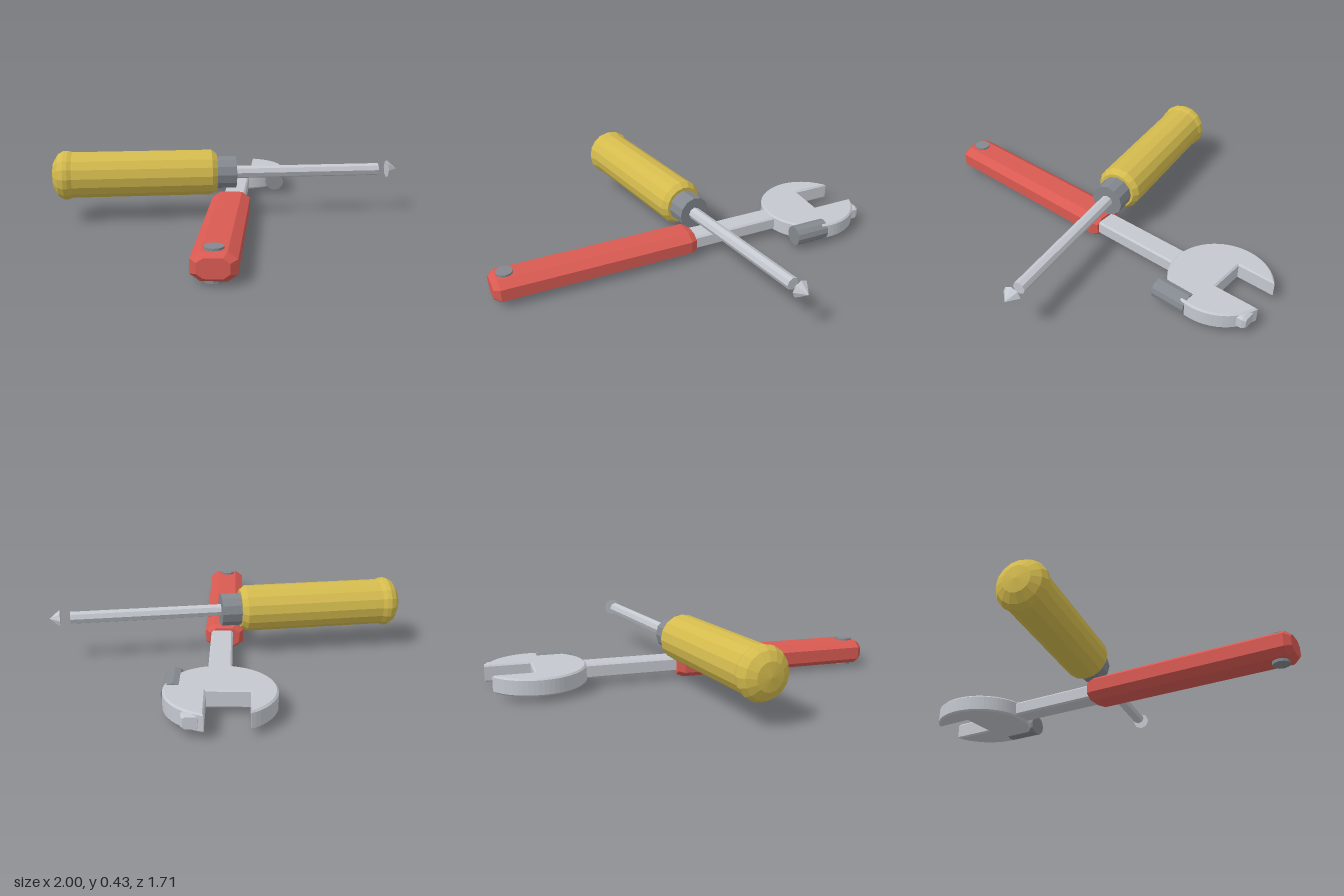
import * as THREE from 'three';

const mat = (name, color) => Object.assign(new THREE.MeshStandardMaterial({ color }), { name });

// Faceted normals on any geometry
function flat(geo) {
  const g = geo.index ? geo.toNonIndexed() : geo;
  g.computeVertexNormals();
  return g;
}

function add(parent, name, geo, material, x = 0, y = 0, z = 0) {
  const mesh = new THREE.Mesh(flat(geo), material);
  mesh.name = name;
  mesh.position.set(x, y, z);
  parent.add(mesh);
  return mesh;
}

// Cylinder lying along x, from x0 to x1
function rod(x0, x1, r0, r1, sides) {
  return new THREE.CylinderGeometry(r1, r0, x1 - x0, sides)
    .rotateZ(-Math.PI / 2).translate((x0 + x1) / 2, 0, 0);
}

// Chamfered bar along x: stations are [x, scale], half height h, half width w
function bar(stations, h, w, ch, cw) {
  const section = [[h, -w + cw], [h, w - cw], [h - ch, w], [-h + ch, w],
    [-h, w - cw], [-h, -w + cw], [-h + ch, -w], [h - ch, -w]];
  const n = section.length, pos = [], idx = [];
  for (const [x, s] of stations) for (const [y, z] of section) pos.push(x, y * s, z * s);
  for (let i = 0; i < stations.length - 1; i++) {
    for (let j = 0; j < n; j++) {
      const a = i * n + j, b = i * n + (j + 1) % n;
      idx.push(a, b, b + n, a, b + n, a + n);
    }
  }
  const last = (stations.length - 1) * n;
  for (let j = 1; j < n - 1; j++) {
    idx.push(0, j + 1, j, last, last + j, last + j + 1);
  }
  const g = new THREE.BufferGeometry();
  g.setAttribute('position', new THREE.Float32BufferAttribute(pos, 3));
  g.setIndex(idx);
  return g;
}

export function createModel() {
  const model = new THREE.Group();
  model.name = 'crossedTools';
  const yellow = mat('yellow plastic', 0xd4bb4e);
  const red = mat('red rubber', 0xd85a52);
  const steel = mat('light steel', 0xc4c8cf);
  const dark = mat('dark steel', 0x84898f);

  // Wrench, lying flat, head towards the back left
  const wrench = new THREE.Group();
  wrench.name = 'wrench';
  wrench.rotation.y = THREE.MathUtils.degToRad(40);
  model.add(wrench);

  add(wrench, 'wrenchGrip',
    bar([[-1.235, 0.7], [-1.2, 1], [-0.02, 1], [0.02, 0.8]], 0.073, 0.115, 0.035, 0.05),
    red, 0, 0.09, -0.006);
  add(wrench, 'gripRivet', new THREE.CylinderGeometry(0.05, 0.05, 0.175, 12), dark, -1.147, 0.0875, -0.01);
  add(wrench, 'wrenchShaft', bar([[-0.05, 1], [0.65, 1]], 0.043, 0.066, 0.01, 0.01), steel, 0, 0.091, 0.008);

  // Round head with a square mouth
  const outline = new THREE.Shape();
  outline.moveTo(0.89, -0.155);
  outline.lineTo(0.89, 0.075);
  outline.absarc(0.87, 0, 0.3, 0.25, Math.PI * 2 - 0.543);
  outline.closePath();
  const head = new THREE.ExtrudeGeometry(outline, {
    depth: 0.084, bevelThickness: 0.01, bevelSize: 0.01, bevelOffset: -0.01,
    bevelSegments: 1, curveSegments: 28,
  }).rotateX(Math.PI / 2);
  add(wrench, 'wrenchHead', head, steel, 0, 0.132, 0);

  // Small nub at the tip of the lower jaw
  add(wrench, 'jawNub', bar([[1.06, 1], [1.135, 1], [1.155, 0.75]], 0.043, 0.05, 0.014, 0.014),
    steel, 0, 0.09, 0.14);
  add(wrench, 'adjustingRoller', rod(0.62, 0.836, 0.063, 0.063, 12), dark, 0, 0.088, 0.25);

  // Screwdriver, resting across the wrench
  const driver = new THREE.Group();
  driver.name = 'screwdriver';
  driver.rotation.y = THREE.MathUtils.degToRad(-40);
  driver.position.y = 0.28;
  model.add(driver);

  const profile = [[0, -1.095], [0.08, -1.085], [0.13, -1.055], [0.15, -1.02], [0.149, -0.995],
    [0.14, -0.97], [0.14, -0.13], [0.115, -0.097], [0, -0.097]].map(([r, s]) => new THREE.Vector2(r, s));
  add(driver, 'driverHandle', new THREE.LatheGeometry(profile, 16).rotateZ(-Math.PI / 2), yellow, 0, 0, -0.031);
  add(driver, 'driverCollar', rod(-0.12, 0.022, 0.1, 0.1, 12), dark, 0, -0.003, -0.031);
  add(driver, 'driverShaft', rod(0, 0.925, 0.038, 0.038, 8), steel, 0, -0.005, -0.031);
  add(driver, 'driverTip', rod(0.984, 1.046, 0.055, 0.001, 8), steel, 0, -0.005, -0.031);

  return model;
}
